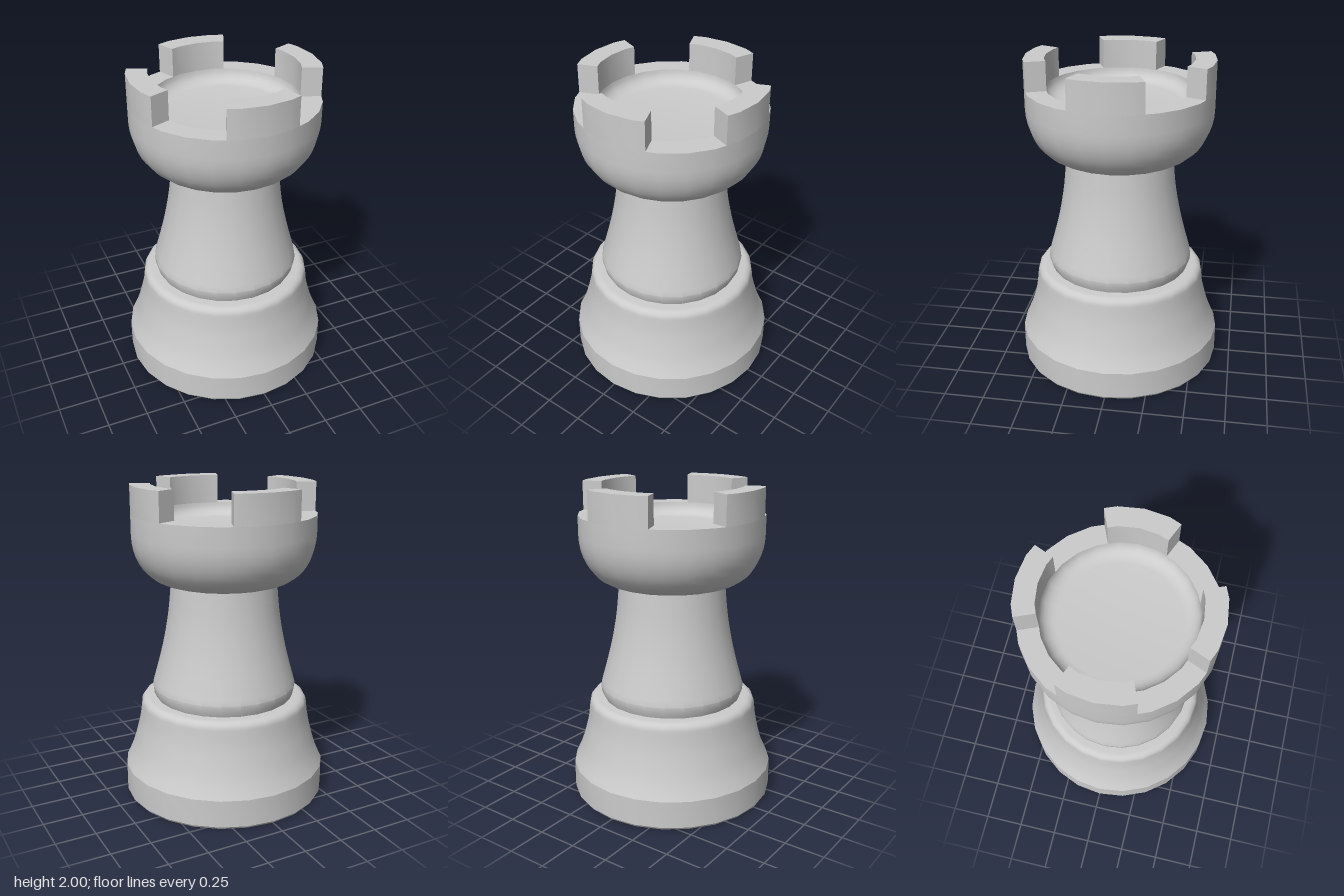
import * as THREE from 'three';
import { toCreasedNormals } from 'three/addons/utils/BufferGeometryUtils.js';

const SIDES = 24;
const CREASE = 0.4;
const material = new THREE.MeshStandardMaterial({ color: 0xcccccc });

function part(name, geometry) {
  const mesh = new THREE.Mesh(toCreasedNormals(geometry, CREASE), material);
  mesh.name = name;
  return mesh;
}

const turned = (name, points) => part(name, new THREE.LatheGeometry(points, SIDES));
const v = (x, y) => new THREE.Vector2(x, y);
const curve = (pairs, n) => new THREE.SplineCurve(pairs.map(([x, y]) => v(x, y))).getPoints(n);

// Quarter-ellipse arc between two angles in degrees
function arc(cx, cy, rx, ry, from, to, n) {
  return Array.from({ length: n + 1 }, (_, i) => {
    const a = THREE.MathUtils.degToRad(from + ((to - from) * i) / n);
    return v(cx + rx * Math.cos(a), cy + ry * Math.sin(a));
  });
}

// Ring sector of a 24-sided wall, spanning 45 degrees around +x
function merlonGeometry(inner, outer, height) {
  const step = Math.PI / 12;
  const end = Math.cos(step / 2); // the ends fall in the middle of a side
  const angles = [[-1.5, end], [-1, 1], [0, 1], [1, 1], [1.5, end]];
  const at = (radius) => ([k, f]) =>
    v(radius * f * Math.cos(k * step), radius * f * Math.sin(k * step));
  const shape = new THREE.Shape([...angles.map(at(outer)), ...angles.map(at(inner)).reverse()]);
  const geometry = new THREE.ExtrudeGeometry(shape, { depth: height, bevelEnabled: false });
  return geometry.rotateX(-Math.PI / 2);
}

export function createModel() {
  const model = new THREE.Group();
  model.name = 'rook';

  // Flared foot with a straight lower band and a rounded shoulder
  model.add(turned('base', [
    v(0, 0), v(0.64, 0), v(0.65, 0.015),
    ...curve([[0.65, 0.19], [0.605, 0.29], [0.57, 0.41], [0.55, 0.5], [0.538, 0.595]], 10).slice(0, -1),
    ...arc(0.488, 0.595, 0.05, 0.05, 0, 90, 6),
    v(0, 0.645),
  ]));

  // Tapering neck
  model.add(turned('neck', [
    v(0.44, 0.64), v(0.457, 0.68),
    ...curve([[0.462, 0.72], [0.42, 0.87], [0.384, 1.02], [0.353, 1.2], [0.333, 1.41]], 12),
  ]));

  // Bowl-shaped head with a shallow dish in the top
  model.add(turned('head', [
    v(0, 1.395), v(0.325, 1.395),
    ...arc(0.345, 1.7, 0.23, 0.305, -90, 0, 10),
    v(0.575, 1.82), v(0.45, 1.82),
    ...arc(0.36, 1.82, 0.09, 0.08, 0, -90, 6).slice(1),
    v(0, 1.74),
  ]));

  // Four merlons: front, back and both sides
  const battlements = new THREE.Group();
  battlements.name = 'battlements';
  for (let i = 0; i < 4; i++) {
    const merlon = part('merlon', merlonGeometry(0.45, 0.575, 0.18));
    merlon.position.y = 1.82;
    merlon.rotation.y = (i * Math.PI) / 2;
    battlements.add(merlon);
  }
  model.add(battlements);

  return model;
}
